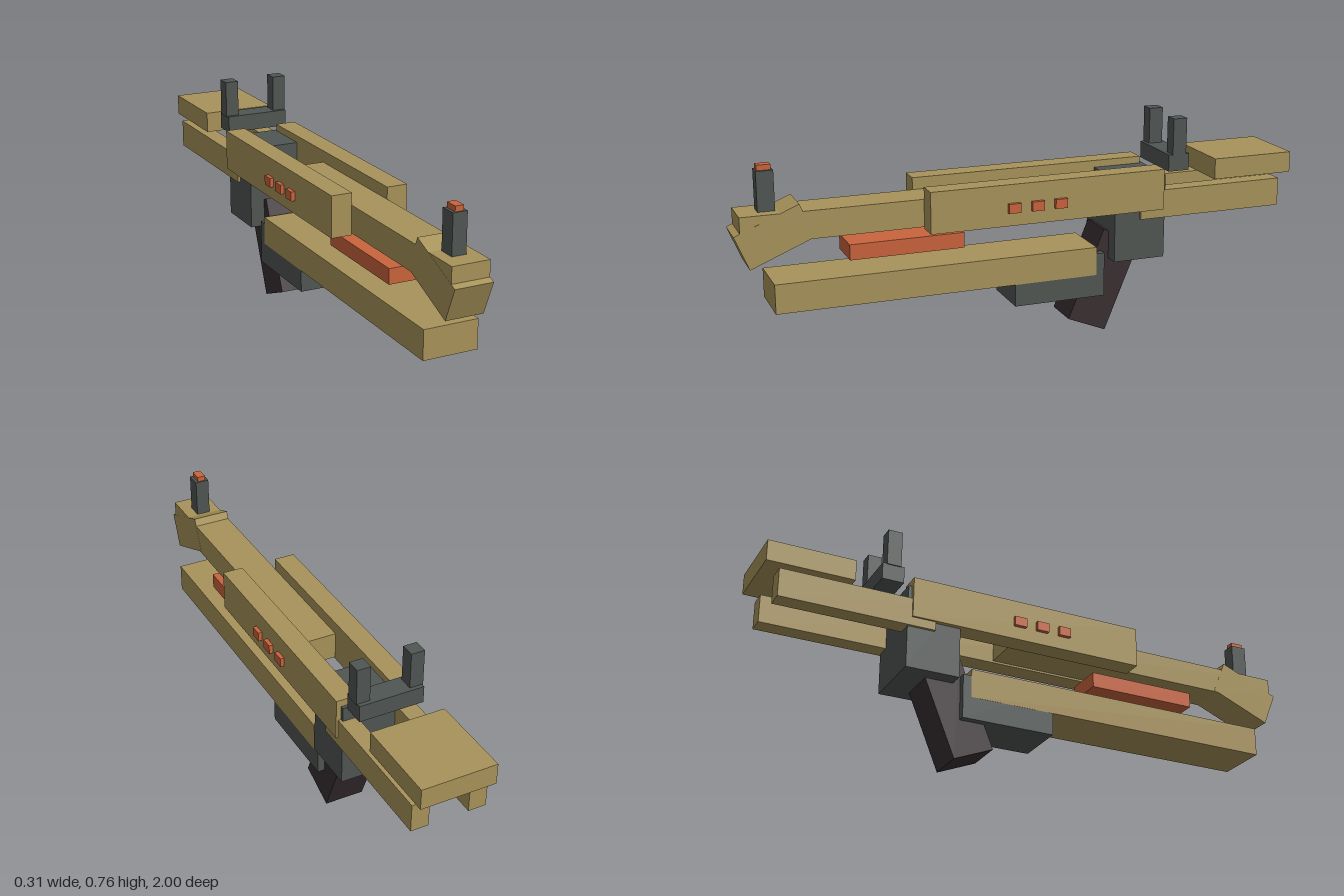
import * as THREE from 'three';

const material = (name, color) => {
  const m = new THREE.MeshStandardMaterial({ color });
  m.name = name;
  return m;
};

export function createModel() {
  const tan = material('tan', 0xa8935a);
  const grey = material('grey', 0x505653);
  const dark = material('dark brown', 0x392f31);
  const orange = material('orange', 0xca643c);
  const model = new THREE.Group();
  model.name = 'model';

  // Box given by its [min, max] range on each axis
  function box(name, mat, [x0, x1], [y0, y1], [z0, z1]) {
    const mesh = new THREE.Mesh(new THREE.BoxGeometry(x1 - x0, y1 - y0, z1 - z0), mat);
    mesh.position.set((x0 + x1) / 2, (y0 + y1) / 2, (z0 + z1) / 2);
    mesh.name = name;
    model.add(mesh);
    return mesh;
  }
  const centred = (name, mat, half, y, z) => box(name, mat, [-half, half], y, z);
  const pair = (name, mat, [a, b], y, z) => {
    box(name + 'Left', mat, [a, b], y, z);
    box(name + 'Right', mat, [-b, -a], y, z);
  };

  // Front: barrel, tilted muzzle and fore-end
  centred('barrel', tan, 0.066, [0.457, 0.553], [-0.106, 0.978]);
  const muzzle = centred('muzzle', tan, 0.0665, [0.413, 0.539], [0.748, 0.984]);
  muzzle.rotation.x = 0.39;
  centred('underBarrelTube', orange, 0.07, [0.37, 0.424], [0.22, 0.62]);
  centred('foreEnd', tan, 0.096, [0.222, 0.324], [-0.26, 0.88]);

  // Side panels with small buttons
  pair('sidePanel', tan, [0.065, 0.139], [0.45, 0.595], [-0.495, 0.36]);
  for (const z of [0.067, -0.018, -0.103]) {
    pair('button', orange, [0.13, 0.153], [0.497, 0.53], [z - 0.022, z + 0.022]);
  }

  // Receiver, lower housing and slanted grip
  centred('receiver', grey, 0.122, [0.271, 0.57], [-0.507, -0.316]);
  centred('lowerHousing', grey, 0.0955, [0.143, 0.3], [-0.29, 0.045]);
  const grip = centred('grip', dark, 0.07, [0.0185, 0.3635], [-0.3775, -0.2265]);
  grip.rotation.x = -0.39;

  // Stock: two arms and a top plate
  pair('stockArm', tan, [0.07, 0.132], [0.419, 0.519], [-0.955, -0.41]);
  centred('stockPlate', tan, 0.131, [0.538, 0.612], [-1, -0.697]);

  // Sights
  centred('frontSight', grey, 0.025, [0.53, 0.689], [0.852, 0.91]);
  centred('frontSightTip', orange, 0.015, [0.685, 0.707], [0.858, 0.905]);
  centred('rearSightBase', grey, 0.115, [0.578, 0.638], [-0.6, -0.522]);
  pair('rearSightPost', grey, [0.071, 0.119], [0.635, 0.766], [-0.586, -0.535]);

  return model;
}
